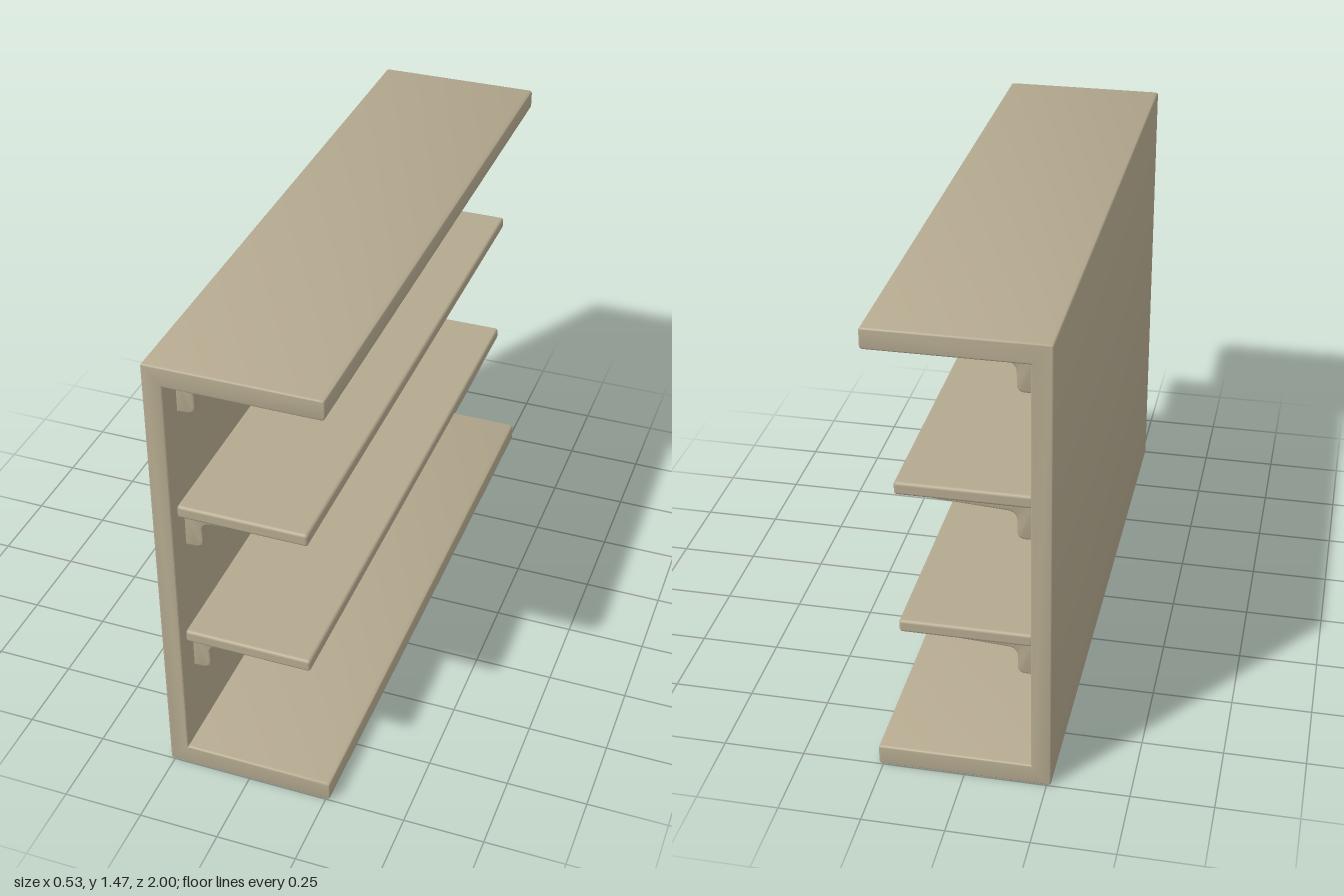
import * as THREE from 'three';
import { toCreasedNormals } from 'three/addons/utils/BufferGeometryUtils.js';
import { RoundedBoxGeometry } from 'three/addons/geometries/RoundedBoxGeometry.js';

const material = new THREE.MeshStandardMaterial({ color: 0xb3a88e });

// Closed outline from [x, y, cornerRadius] points
function roundedShape(points) {
  const shape = new THREE.Shape();
  const n = points.length;
  points.forEach(([x, y, r], i) => {
    const p = new THREE.Vector2(x, y);
    const toward = (q) => new THREE.Vector2(q[0], q[1]).sub(p).setLength(r).add(p);
    const a = toward(points[(i + n - 1) % n]);
    const b = toward(points[(i + 1) % n]);
    if (i === 0) shape.moveTo(a.x, a.y);
    else shape.lineTo(a.x, a.y);
    if (r > 0) shape.quadraticCurveTo(x, y, b.x, b.y);
  });
  shape.closePath();
  return shape;
}

// Outline extruded along z, centred, with softened end edges
function extrudeCentred(points, width, bevel) {
  const geometry = new THREE.ExtrudeGeometry(roundedShape(points), {
    depth: width - 2 * bevel,
    bevelThickness: bevel,
    bevelSize: bevel,
    bevelOffset: -bevel,
    bevelSegments: 3,
    curveSegments: 6,
  });
  geometry.translate(0, 0, -width / 2 + bevel);
  return toCreasedNormals(geometry, 0.6);
}

export function createModel() {
  const model = new THREE.Group();
  model.name = 'wallShelf';

  const add = (name, geometry, x = 0, y = 0, z = 0) => {
    const mesh = new THREE.Mesh(geometry, material);
    mesh.name = name;
    mesh.position.set(x, y, z);
    model.add(mesh);
  };

  // Back panel with top and bottom boards, one C-shaped piece
  const back = -0.263, front = 0.263, inner = -0.202, height = 1.465;
  add('frame', extrudeCentred([
    [back, 0, 0.01], [front, 0, 0.012], [front, 0.067, 0.012], [inner, 0.067, 0],
    [inner, 1.401, 0], [front, 1.401, 0.012], [front, height, 0.012], [back, height, 0.01],
  ], 2, 0.006));

  // Two inner shelves
  const shelf = new RoundedBoxGeometry(0.396, 0.041, 1.932, 3, 0.01);
  for (const y of [0.491, 0.957]) add('shelf', shelf, -0.004, y, 0);

  // A pair of brackets under each shelf and under the top board
  const bracket = extrudeCentred([
    [-0.203, 0, 0], [-0.203, -0.13, 0], [-0.147, -0.13, 0.025],
    [-0.147, -0.042, 0.028], [0.115, -0.025, 0.01], [0.115, 0, 0.01],
  ], 0.038, 0.007);
  for (const y of [0.469, 0.935, 1.402]) {
    for (const side of [-1, 1]) add('bracket', bracket, 0, y, side * 0.902);
  }

  return model;
}
